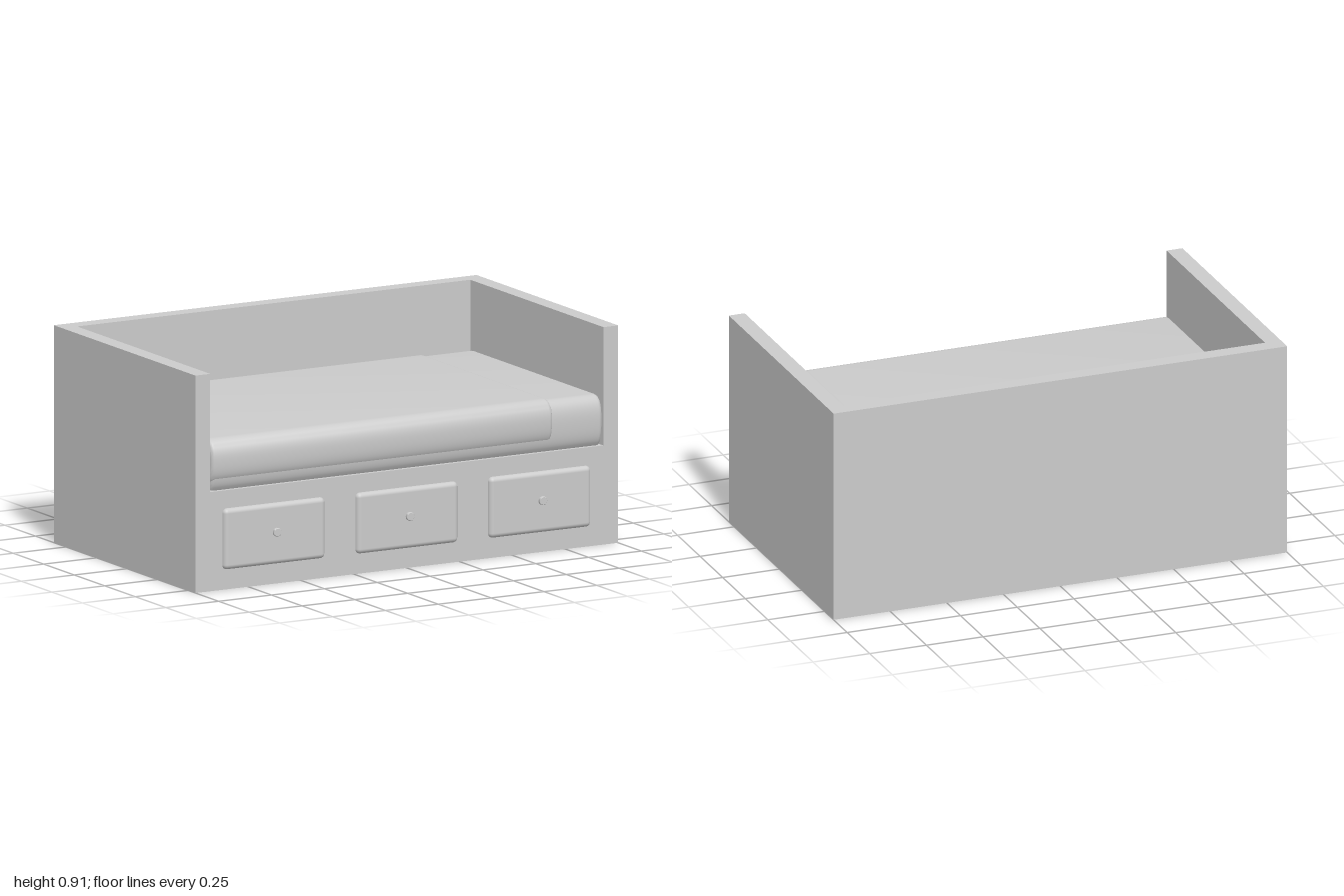
import * as THREE from 'three';
import { RoundedBoxGeometry } from 'three/addons/geometries/RoundedBoxGeometry.js';
import { toCreasedNormals } from 'three/addons/utils/BufferGeometryUtils.js';

const material = new THREE.MeshStandardMaterial({ color: 0xcccccc });

function add(parent, name, geometry, x = 0, y = 0, z = 0) {
  const mesh = new THREE.Mesh(geometry, material);
  mesh.name = name;
  mesh.position.set(x, y, z);
  parent.add(mesh);
  return mesh;
}

// Box given by its limits on each axis
function addBox(parent, name, [x0, x1], [y0, y1], [z0, z1]) {
  return add(parent, name, new THREE.BoxGeometry(x1 - x0, y1 - y0, z1 - z0),
    (x0 + x1) / 2, (y0 + y1) / 2, (z0 + z1) / 2);
}

// Long cushion along x with softly bulging front and back
function cushion(x0, x1, y0, y1, back, front, softness) {
  const bevel = 0.018;
  const b = -back - bevel, f = -front + bevel; // shape x runs towards -z
  const lo = y0 + bevel, hi = y1 - bevel;
  const mid = (lo + hi) / 2 + 0.01;
  const shape = new THREE.Shape();
  shape.moveTo(f + softness * 0.4, lo);
  shape.lineTo(b - softness * 0.4, lo);
  shape.quadraticCurveTo(b, lo + 0.02, b, mid);
  shape.bezierCurveTo(b, hi - 0.02, b - softness * 0.4, hi, b - softness, hi);
  shape.lineTo(f + softness, hi);
  shape.bezierCurveTo(f + softness * 0.4, hi, f, hi - 0.02, f, mid);
  shape.quadraticCurveTo(f, lo + 0.02, f + softness * 0.4, lo);
  const geometry = new THREE.ExtrudeGeometry(shape, {
    depth: x1 - x0 - 2 * bevel, curveSegments: 10,
    bevelEnabled: true, bevelThickness: bevel, bevelSize: bevel, bevelSegments: 4,
  });
  geometry.rotateY(Math.PI / 2);
  geometry.translate(x0 + bevel, 0, 0);
  return toCreasedNormals(geometry, 0.6);
}

export function createModel() {
  const model = new THREE.Group();
  model.name = 'daybed';

  // Base and the three raised walls
  addBox(model, 'base', [-1, 1], [0, 0.415], [-0.6, 0.56]);
  addBox(model, 'backPanel', [-0.93, 0.93], [0.415, 0.91], [-0.6, -0.53]);
  for (const side of [-1, 1]) {
    addBox(model, side > 0 ? 'leftPanel' : 'rightPanel',
      side > 0 ? [0.93, 1] : [-1, -0.93], [0.415, 0.91], [-0.6, 0.56]);
  }

  // Mattress and the blanket laid over most of its length
  add(model, 'mattress', cushion(-0.925, 0.925, 0.415, 0.625, -0.53, 0.566, 0.04));
  add(model, 'blanket', cushion(-0.93, 0.685, 0.45, 0.632, -0.533, 0.577, 0.045));

  // Drawers with round knobs
  const knobProfile = [[0, 0], [0.009, 0], [0.009, 0.012], [0.018, 0.012], [0.018, 0.022], [0.016, 0.024], [0, 0.024]]
    .map(([r, h]) => new THREE.Vector2(r, h));
  const knobGeometry = toCreasedNormals(
    new THREE.LatheGeometry(knobProfile, 24).rotateX(Math.PI / 2), 0.6);
  const drawerGeometry = new RoundedBoxGeometry(0.48, 0.255, 0.06, 4, 0.02);
  for (const x of [-0.633, -0.004, 0.624]) {
    const drawer = new THREE.Group();
    drawer.name = 'drawer';
    drawer.position.set(x, 0, 0);
    add(drawer, 'drawerFront', drawerGeometry, 0, 0.212, 0.549);
    add(drawer, 'knob', knobGeometry, 0, 0.222, 0.577);
    model.add(drawer);
  }
  return model;
}
